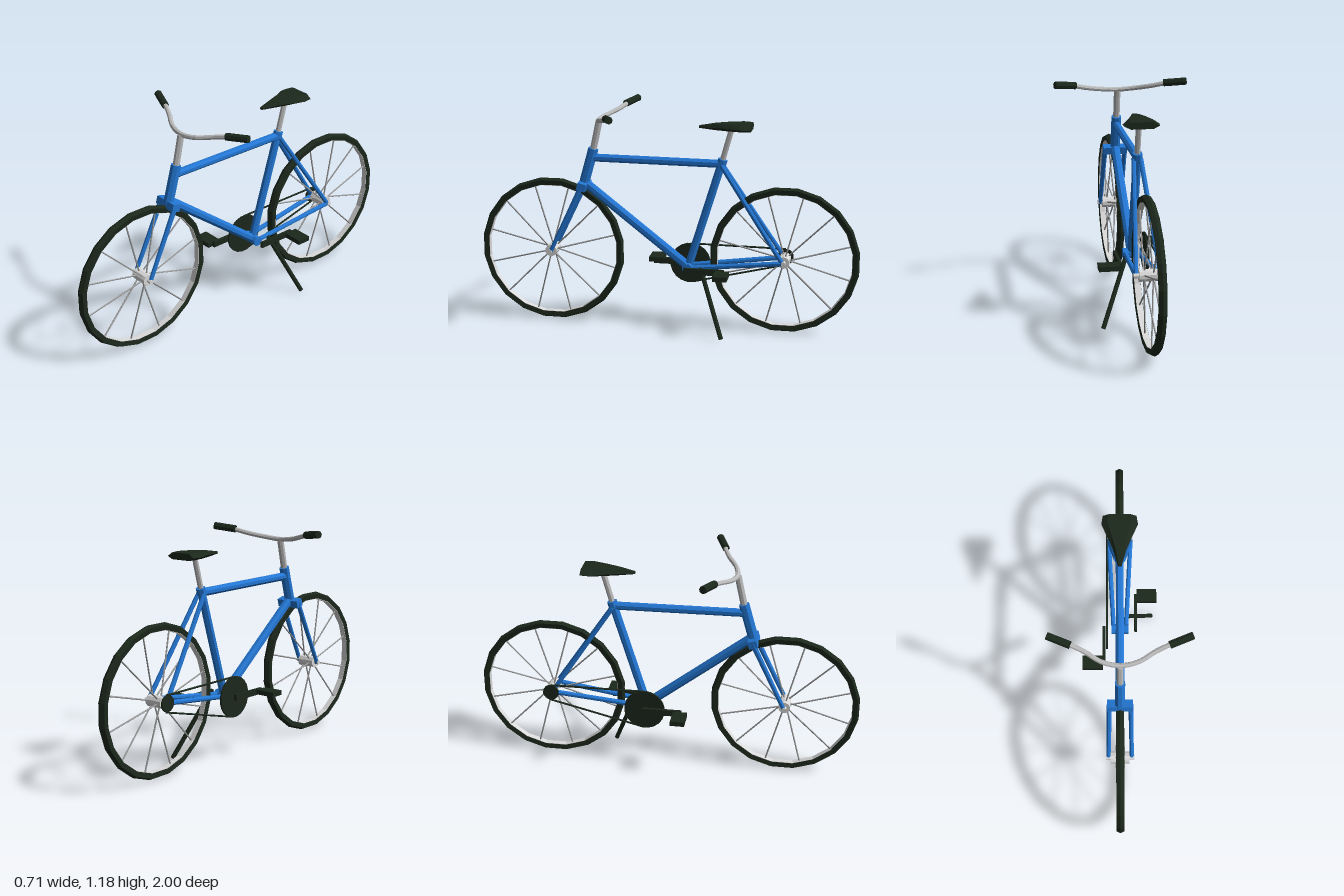
import * as THREE from 'three';

const mat = (name, color) => {
  const m = new THREE.MeshStandardMaterial({ color, flatShading: true });
  m.name = name;
  return m;
};
const V = (x, y, z) => new THREE.Vector3(x, y, z);

export function createModel() {
  const blue = mat('framePaint', 0x2377d4);
  const dark = mat('darkRubber', 0x1c281c);
  const steel = mat('brushedSteel', 0xbababa);
  const light = mat('polishedAlloy', 0xdadada);
  const wire = mat('spokeWire', 0xa0a0a0);

  const bike = new THREE.Group();
  bike.name = 'bicycle';

  const add = (name, geometry, material, parent = bike) => {
    const mesh = new THREE.Mesh(geometry, material);
    mesh.name = name;
    parent.add(mesh);
    return mesh;
  };
  // Straight bar between two points, with a flat facet facing forward
  const bar = (name, a, b, r, material, parent = bike, sides = 8, r2 = r) => {
    const dir = b.clone().sub(a);
    const geometry = new THREE.CylinderGeometry(r2, r, dir.length(), sides, 1, false, Math.PI / sides);
    const mesh = add(name, geometry, material, parent);
    mesh.position.copy(a).add(b).multiplyScalar(0.5);
    mesh.quaternion.setFromUnitVectors(V(0, 1, 0), dir.normalize());
    return mesh;
  };
  const box = (name, w, h, d, x, y, z, material) => {
    const mesh = add(name, new THREE.BoxGeometry(w, h, d), material);
    mesh.position.set(x, y, z);
    return mesh;
  };

  // Closed ring turned about the x axis, from (radius, offset) pairs
  const ring = (profile) => {
    const pts = profile.map(([r, o]) => new THREE.Vector2(r, o));
    return new THREE.LatheGeometry(pts, 20, Math.PI / 20).rotateZ(Math.PI / 2);
  };

  // Wheels
  const axleY = 0.392, axleZ = 0.616;
  const tireProfile = [[0.353, -0.017], [0.379, -0.02], [0.389, 0], [0.379, 0.02], [0.353, 0.017], [0.353, -0.017]];
  const rimProfile = [[0.351, -0.016], [0.356, -0.016], [0.356, 0.016], [0.351, 0.016], [0.351, -0.016]];
  for (const [name, z] of [['frontWheel', axleZ], ['rearWheel', -axleZ]]) {
    const wheel = new THREE.Group();
    wheel.name = name;
    wheel.position.set(0, axleY, z);
    bike.add(wheel);
    add('tire', ring(tireProfile), dark, wheel);
    add('rim', ring(rimProfile), light, wheel);
    bar('hub', V(-0.048, 0, 0), V(0.048, 0, 0), 0.031, light, wheel, 10);
    bar('axle', V(-0.073, 0, 0), V(0.073, 0, 0), 0.012, light, wheel);
    for (let i = 0; i < 12; i++) {
      const a = (i + 0.5) * Math.PI / 6, s = i % 2 ? 1 : -1;
      bar('spoke', V(s * 0.022, 0.02 * Math.cos(a), 0.02 * Math.sin(a)),
        V(0, 0.352 * Math.cos(a), 0.352 * Math.sin(a)), 0.0043, wire, wheel, 5);
    }
  }

  // Main frame
  const crankY = 0.332, crankZ = -0.114;
  const bracket = V(0, crankY, crankZ), seatTop = V(0, 0.9, -0.287);
  bar('headTube', V(0, 0.748, 0.443), V(0, 0.943, 0.388), 0.027, blue);
  bar('topTube', V(0, 0.895, 0.4), V(0, 0.888, -0.283), 0.021, blue);
  bar('downTube', V(0, 0.762, 0.437), bracket, 0.024, blue);
  bar('seatTube', bracket, seatTop, 0.022, blue);
  bar('seatCollar', V(0, 0.882, -0.282), V(0, 0.912, -0.291), 0.026, blue);
  bar('bottomBracket', V(-0.046, crankY, crankZ), V(0.046, crankY, crankZ), 0.027, blue);
  box('forkCrown', 0.13, 0.04, 0.046, 0, 0.746, 0.443, blue).rotation.x = -0.27;

  // Fork blades and rear stays on both sides
  for (const s of [-1, 1]) {
    bar('forkBlade', V(s * 0.054, 0.75, 0.443), V(s * 0.06, axleY - 0.005, axleZ), 0.014, blue, bike, 8, 0.011);
    bar('seatStay', V(s * 0.018, 0.883, -0.285), V(s * 0.06, axleY, -axleZ + 0.005), 0.012, blue);
    bar('chainStay', V(s * 0.033, crankY, crankZ), V(s * 0.06, axleY, -axleZ + 0.005), 0.013, blue);
  }

  // Stem, handlebar and grips
  bar('stem', V(0, 0.94, 0.388), V(0, 1.095, 0.354), 0.018, steel);
  const half = [[0.09, 1.107, 0.335], [0.17, 1.125, 0.29], [0.25, 1.145, 0.257], [0.3, 1.152, 0.238]];
  const path = [
    ...half.map(([x, y, z]) => V(-x, y, z)).reverse(),
    V(0, 1.098, 0.352),
    ...half.map(([x, y, z]) => V(x, y, z)),
  ];
  add('handlebar', new THREE.TubeGeometry(new THREE.CatmullRomCurve3(path), 20, 0.0125, 8), steel);
  for (const s of [-1, 1]) {
    bar('grip', V(s * 0.235, 1.144, 0.265), V(s * 0.348, 1.158, 0.222), 0.0195, dark);
  }

  // Seat post and saddle: six-sided cross-sections from tail to nose
  bar('seatPost', V(0, 0.9, -0.287), V(0, 1.075, -0.335), 0.015, steel);
  // z, half width, top, bottom
  const sections = [
    [-0.437, 0.084, 1.1, 1.066],
    [-0.39, 0.091, 1.102, 1.066],
    [-0.32, 0.06, 1.101, 1.065],
    [-0.25, 0.031, 1.097, 1.066],
    [-0.168, 0.009, 1.084, 1.072],
  ];
  const pos = [], idx = [];
  sections.forEach(([z, w, top, bot], i) => {
    const mid = (top + bot) / 2 - 0.003;
    const loop = [[w, mid], [w * 0.65, top], [-w * 0.65, top], [-w, mid], [-w * 0.65, bot], [w * 0.65, bot]];
    loop.forEach(([x, y]) => pos.push(x, y, z));
    if (i === 0) return;
    for (let j = 0; j < 6; j++) {
      const a = (i - 1) * 6 + j, b = (i - 1) * 6 + (j + 1) % 6;
      idx.push(a, b, b + 6, a, b + 6, a + 6);
    }
  });
  const last = (sections.length - 1) * 6;
  for (let j = 1; j < 5; j++) idx.push(0, j + 1, j, last, last + j, last + j + 1);
  const saddle = new THREE.BufferGeometry();
  saddle.setAttribute('position', new THREE.Float32BufferAttribute(pos, 3));
  saddle.setIndex(idx);
  saddle.computeVertexNormals();
  add('saddle', saddle, dark);

  // Chainring, sprocket and chain beside the rear wheel
  const chainX = -0.07;
  const disc = (name, y, z, r) =>
    bar(name, V(chainX - 0.005, y, z), V(chainX + 0.005, y, z), r, dark, bike, 20);
  disc('chainring', crankY, crankZ, 0.108);
  disc('sprocket', axleY, -axleZ, 0.042);
  bar('upperChain', V(chainX, 0.438, crankZ), V(chainX, 0.434, -axleZ), 0.005, dark, bike, 6);
  bar('lowerChain', V(chainX, 0.23, crankZ - 0.02), V(chainX, 0.35, -axleZ - 0.01), 0.005, dark, bike, 6);

  // Cranks and pedals, pointing opposite ways
  for (const s of [-1, 1]) {
    const endZ = crankZ - s * 0.192;
    box('crankArm', 0.015, 0.032, 0.21, s * 0.086, crankY, crankZ - s * 0.094, dark);
    box('pedal', 0.108, 0.025, 0.074, s * 0.146, crankY, endZ, dark);
  }

  // Side stand
  bar('kickstand', V(0.04, 0.34, -0.185), V(0.178, 0.004, -0.316), 0.012, dark);

  return bike;
}
